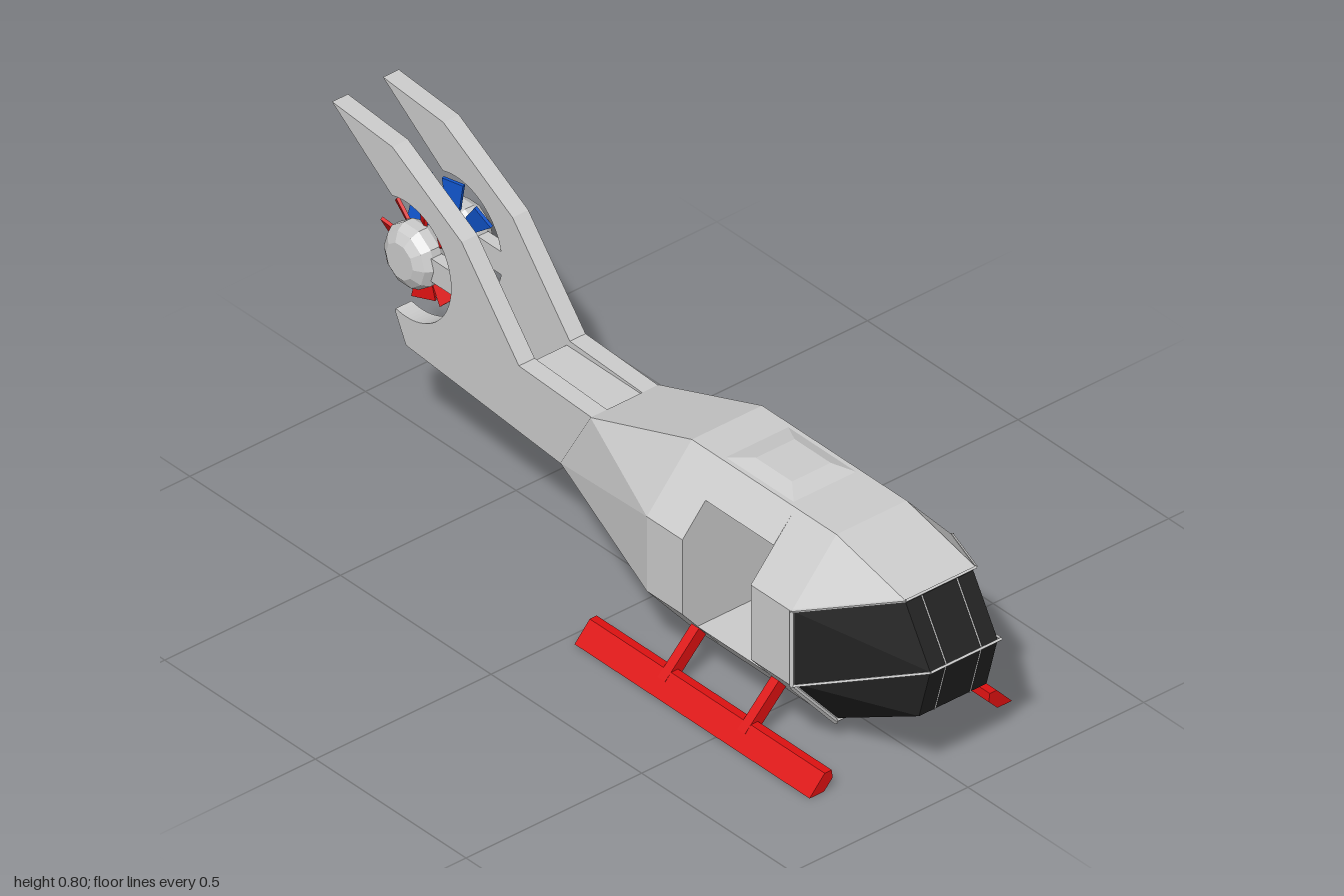
import * as THREE from 'three';
import { ConvexGeometry } from 'three/addons/geometries/ConvexGeometry.js';

const mat = (color) => new THREE.MeshStandardMaterial({ color, flatShading: true });
const grey = mat(0xcccccc), glass = mat(0x222222), red = mat(0xdd1111), blue = mat(0x1155cc);
const v = (x, y, z) => new THREE.Vector3(x, y, z);

export function createModel() {
  const model = new THREE.Group();
  const add = (name, geometry, material = grey, parent = model) => {
    const mesh = new THREE.Mesh(geometry, material);
    mesh.name = name;
    parent.add(mesh);
    return mesh;
  };
  // Mirrored pairs of points, [halfWidth, y, z]
  const pairs = (list) => list.flatMap(([x, y, z]) => [v(x, y, z), v(-x, y, z)]);
  const solid = (name, list, material) => add(name, new ConvexGeometry(pairs(list)), material);
  const section = (profile, ...zs) => zs.flatMap((z) => profile.map(([x, y]) => [x, y, z]));
  const bar = (name, a, b, r = 0.004) => {
    const mesh = add(name, new THREE.CylinderGeometry(r, r, a.distanceTo(b), 4));
    mesh.position.copy(a).lerp(b, 0.5);
    mesh.quaternion.setFromUnitVectors(v(0, 1, 0), b.clone().sub(a).normalize());
  };

  // Octagonal cabin with a door opening right through it
  const octagon = [[0.1, 0.05], [0.228, 0.2], [0.228, 0.395], [0.1, 0.54]];
  solid('cabinFront', section(octagon, 0.545, 0.68));
  solid('cabinRear', section(octagon, 0.2, 0.318));
  solid('cabinRoof', section([[0.163, 0.47], [0.1, 0.54]], 0.318, 0.545));
  solid('cabinFloor', section([[0.1, 0.05], [0.186, 0.15]], 0.318, 0.545));
  solid('rearTaper', [...section(octagon, 0.2), [0.097, 0.42, -0.14], [0.097, 0.25, -0.24]]);
  solid('roofHump', [[0.1, 0.535, 0.54], [0.1, 0.535, 0.28], [0.055, 0.555, 0.48], [0.055, 0.555, 0.36]]);

  // Faceted nose: grey brow over a glazed front
  const E = [0.228, 0.395, 0.68], F = [0.1, 0.485, 0.91], A = [0.1, 0.34, 0.993];
  const B = [0.1, 0.2, 0.955], C = [0.1, 0.05, 0.68], D = [0.228, 0.2, 0.68];
  solid('noseBrow', [E, [0.1, 0.54, 0.68], F]);
  const inset = ([x, y, z]) => [x * 0.96, 0.26 + (y - 0.26) * 0.96, 0.68 + (z - 0.68) * 0.98];
  solid('windscreen', [A, B, C, D, E, F].map(inset), glass);
  for (const s of [1, -1]) {
    const p = (q) => v(s * q[0], q[1], q[2]);
    bar('windowFrame', p(E), p(F));
    bar('windowFrame', p(A), p(D));
    bar('windowFrame', p(D), p(C), 0.006);
    bar('windowFrame', p(D), p(E), 0.006);
    // Slim upright glazing bars
    const upright = [F, A, B, C].map((q) => { const i = inset(q); return v(s * 0.05, i[1], i[2]); });
    for (let i = 0; i < 3; i++) bar('glazingBar', upright[i], upright[i + 1], 0.002);
  }
  for (const q of [F, A]) bar('windowFrame', v(q[0], q[1], q[2]), v(-q[0], q[1], q[2]));
  bar('windowFrame', v(0.1, 0.055, 0.68), v(-0.1, 0.055, 0.68), 0.006);

  // Twin tail plates with an open fan ring; shape x runs backwards
  const tail = new THREE.Shape();
  tail.moveTo(0.1, 0.27);
  for (const [u, y] of [[0.24, 0.246], [0.755, 0.29], [0.79, 0.36]]) tail.lineTo(u, y);
  tail.absarc(0.755, 0.515, 0.15, THREE.MathUtils.degToRad(283), THREE.MathUtils.degToRad(72), true);
  for (const [u, y] of [[1, 0.8], [0.8, 0.785], [0.57, 0.655], [0.38, 0.43], [0.14, 0.42], [0.1, 0.42]]) tail.lineTo(u, y);
  const plate = new THREE.ExtrudeGeometry(tail, { depth: 0.045, bevelEnabled: false, curveSegments: 24 }).rotateY(Math.PI / 2);
  for (const x of [0.05, -0.095]) add('tailPlate', plate).position.x = x;
  add('tailDeck', new THREE.BoxGeometry(0.1, 0.04, 0.29)).position.set(0, 0.395, -0.245);

  // Splayed skids: slanted rails and struts
  const slanted = (points, z0, z1) => new THREE.ExtrudeGeometry(
    new THREE.Shape(points.map(([x, y]) => new THREE.Vector2(x, y))), { depth: z1 - z0, bevelEnabled: false }).translate(0, 0, z0);
  for (const s of [1, -1]) {
    const side = (points) => points.map(([x, y]) => [s * x, y]);
    const rail = side([[0.247, 0], [0.288, 0], [0.245, 0.047], [0.225, 0.047], [0.222, 0.026]]);
    add('skidRail', slanted(rail, 0.03, 0.81), red);
    const strut = side([[0.232, 0.016], [0.262, 0.03], [0.165, 0.127], [0.135, 0.113]]);
    for (const z of [0.275, 0.54]) add('skidStrut', slanted(strut, z, z + 0.025), red);
  }

  // Tail fans: faceted hub, mounting arm and seven flared blades each
  const hubProfile = [[0, -0.046], [0.045, -0.046], [0.068, -0.032], [0.08, -0.012], [0.08, 0.012], [0.068, 0.032], [0.045, 0.046], [0, 0.046]]
    .map(([r, y]) => new THREE.Vector2(r, y));
  const hub = new THREE.LatheGeometry(hubProfile, 10).rotateZ(Math.PI / 2);
  for (const [s, paint, radius, twist] of [[1, blue, 0.142, 0.25], [-1, red, 0.125, -0.5]]) {
    const fan = new THREE.Group();
    fan.name = s > 0 ? 'leftFan' : 'rightFan';
    fan.position.set(s * 0.066, 0.515, -0.757);
    model.add(fan);
    add('fanHub', hub, grey, fan);
    add('fanArm', new THREE.BoxGeometry(0.03, 0.06, 0.1), grey, fan).position.z = 0.11;
    const length = radius - 0.06;
    const blade = new THREE.BoxGeometry(0.008, length, 0.04);
    // Widen towards the tip
    const pos = blade.attributes.position;
    for (let i = 0; i < pos.count; i++) pos.setZ(i, pos.getZ(i) * (pos.getY(i) > 0 ? 1.4 : 0.8));
    blade.rotateY(twist).translate(-s * 0.024, 0.06 + length / 2, 0);
    for (let i = 0; i < 8; i++) {
      if (i === 2) continue; // the arm takes this place
      add('fanBlade', blade, paint, fan).rotation.x = (i * Math.PI) / 4;
    }
  }
  return model;
}
